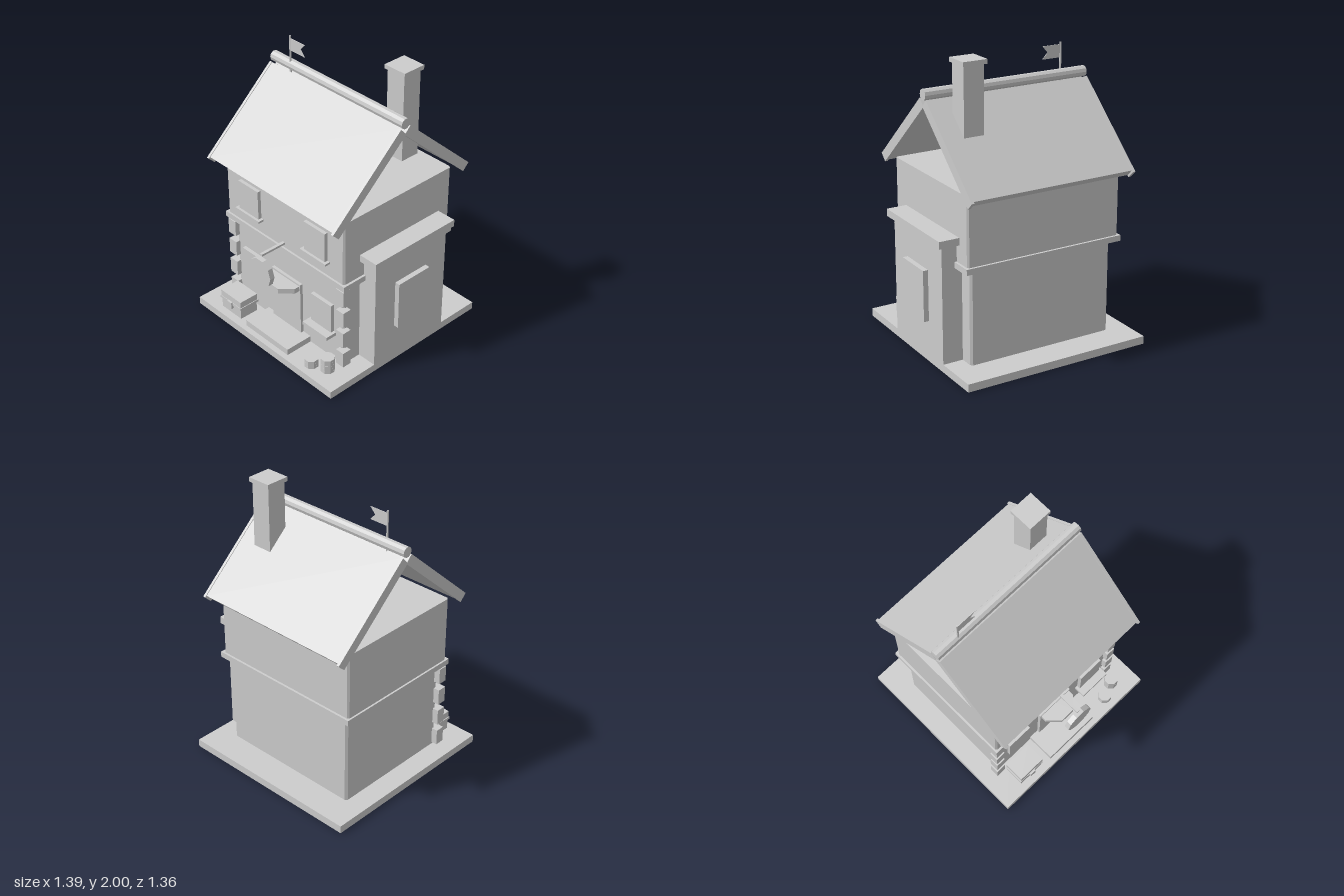
import * as THREE from 'three';

export function createModel() {
  const house = new THREE.Group();
  house.name = 'house';
  const grey = new THREE.MeshStandardMaterial({ color: 0xcccccc });
  grey.name = 'plain grey';
  const greyThin = new THREE.MeshStandardMaterial({ color: 0xcccccc, side: THREE.DoubleSide });
  greyThin.name = 'plain grey two-sided';

  const add = (name, geometry, material = grey) => {
    const mesh = new THREE.Mesh(geometry, material);
    mesh.name = name;
    house.add(mesh);
    return mesh;
  };

  // Box given by its limits on each axis
  const box = (name, x0, x1, y0, y1, z0, z1) =>
    add(name, new THREE.BoxGeometry(x1 - x0, y1 - y0, z1 - z0)
      .translate((x0 + x1) / 2, (y0 + y1) / 2, (z0 + z1) / 2));

  // Faceted cylinder; axis is the direction of its length
  const drum = (name, r, length, sides, axis, x, y, z, turn = 0) => {
    const g = new THREE.CylinderGeometry(r, r, length, sides).toNonIndexed();
    g.rotateY(turn);
    if (axis === 'x') g.rotateZ(Math.PI / 2);
    if (axis === 'z') g.rotateX(Math.PI / 2);
    g.computeVertexNormals();
    return add(name, g.translate(x, y, z));
  };

  // Upright block with chamfered corners
  const storey = (name, x0, x1, y0, y1, z0, z1, c) => {
    const plan = [[x0 + c, z0], [x1 - c, z0], [x1, z0 + c], [x1, z1 - c],
      [x1 - c, z1], [x0 + c, z1], [x0, z1 - c], [x0, z0 + c]];
    const shape = new THREE.Shape(plan.map(([x, z]) => new THREE.Vector2(x, -z)));
    return add(name, new THREE.ExtrudeGeometry(shape, { depth: y1 - y0, bevelEnabled: false })
      .rotateX(-Math.PI / 2).translate(0, y0, 0));
  };

  // Cross-section of [z, y] points swept along x
  const sweepX = (name, points, x0, x1) => {
    const shape = new THREE.Shape(points.map(([z, y]) => new THREE.Vector2(-z, y)));
    return add(name, new THREE.ExtrudeGeometry(shape, { depth: x1 - x0, bevelEnabled: false })
      .rotateY(Math.PI / 2).translate(x0, 0, 0));
  };

  // Base: a hollow slab, open underneath
  const base = box('base', -0.7, 0.656, 0, 0.055, -0.677, 0.68);
  const faces = Array.from(base.geometry.index.array);
  base.geometry.setIndex(faces.filter((_, i) => i < 18 || i >= 24));
  base.geometry.clearGroups();
  base.material = greyThin;

  // Walls
  storey('lowerStorey', -0.55, 0.512, 0.055, 0.71, -0.463, 0.433, 0.015);
  box('floorBand', -0.605, 0.565, 0.705, 0.745, -0.51, 0.478);
  storey('upperStorey', -0.592, 0.548, 0.745, 1.213, -0.494, 0.463, 0.012);

  // Corner stones on the front
  for (let i = 0; i < 4; i++) {
    const y = 0.07 + i * 0.167;
    box('cornerStone', -0.595, -0.522, y, y + 0.115, 0.402, 0.468);
    box('cornerStone', 0.48, 0.548, y, y + 0.115, 0.402, 0.468);
  }

  // Side annex
  box('annex', 0.48, 0.656, 0.055, 0.865, -0.355, 0.289);
  box('annexCap', 0.48, 0.692, 0.865, 0.915, -0.391, 0.325);
  box('annexWindow', 0.65, 0.692, 0.29, 0.645, -0.17, 0.11);

  // Roof slabs, framed at both gable ends
  const ridgeZ = -0.013;
  for (const side of [1, -1]) {
    const corners = [[0.606, 1.213], [0.04, 1.725], [-0.008, 1.675], [0.558, 1.165]]
      .map(([d, y]) => [ridgeZ + side * d, y]);
    const [a, b, c, d] = corners;
    const at = (u, v) => [0, 1].map((k) =>
      (1 - v) * (a[k] + (b[k] - a[k]) * u) + v * (d[k] + (c[k] - d[k]) * u));
    sweepX('roofPanel', [at(0.018, 0.06), at(0.998, 0.06), at(0.998, 0.94), at(0.018, 0.94)],
      -0.61, 0.57);
    sweepX('gableBoard', corners, -0.627, -0.608);
    sweepX('gableBoard', corners, 0.568, 0.587);
  }
  drum('ridge', 0.037, 1.215, 10, 'x', -0.02, 1.752, ridgeZ);

  // Chimney
  box('chimney', 0.3, 0.444, 1.362, 1.97, -0.28, -0.138);
  box('chimneyCap', 0.284, 0.457, 1.97, 2, -0.297, -0.126);

  // Flag with a swallow tail
  drum('flagPole', 0.007, 0.317, 6, 'y', -0.449, 1.808, 0.002);
  const flag = new THREE.Shape([[-0.445, 1.862], [-0.308, 1.862], [-0.348, 1.906],
    [-0.308, 1.95], [-0.445, 1.95]].map(([x, y]) => new THREE.Vector2(x, y)));
  add('flag', new THREE.ExtrudeGeometry(flag, { depth: 0.004, bevelEnabled: false }), greyThin);

  // Windows and sills
  for (const x of [-0.343, 0.299]) {
    box('upperWindow', x - 0.098, x + 0.098, 0.86, 1.075, 0.45, 0.488);
    box('upperSill', x - 0.12, x + 0.12, 0.845, 0.86, 0.45, 0.506);
  }
  box('lowerWindow', -0.463, -0.272, 0.29, 0.503, 0.42, 0.46);
  box('lowerWindow', 0.23, 0.422, 0.285, 0.503, 0.42, 0.46);
  box('lowerSill', 0.21, 0.443, 0.26, 0.285, 0.42, 0.517);

  // Door, step and canopy
  box('door', -0.165, 0.12, 0.1, 0.5, 0.42, 0.455);
  box('doorStep', -0.235, 0.192, 0.055, 0.1, 0.42, 0.64);
  drum('doorCanopy', 0.144, 0.038, 8, 'y', -0.022, 0.468, 0.442, Math.PI / 8);

  // Hanging sign
  drum('sign', 0.107, 0.036, 10, 'z', -0.02, 0.647, 0.662, Math.PI / 2);
  box('signBracket', -0.033, -0.011, 0.77, 0.785, 0.45, 0.66);

  // Chest
  box('chestBody', -0.512, -0.312, 0.055, 0.132, 0.48, 0.622);
  box('chestRim', -0.522, -0.303, 0.132, 0.15, 0.472, 0.63);
  box('chestLid', -0.516, -0.308, 0.15, 0.198, 0.477, 0.626);
  box('chestClasp', -0.435, -0.39, 0.105, 0.155, 0.62, 0.642);

  // Stacks of discs
  for (const [x, z, count] of [[0.37, 0.587, 3], [0.479, 0.542, 5]]) {
    for (let i = 0; i < count; i++) {
      drum('stackedDisc', 0.05, 0.022, 8, 'y', x, 0.061 + i * 0.0225, z, Math.PI / 8);
    }
  }

  // Centre the whole on its footprint
  house.position.set(0.004, 0, -0.003);
  return house;
}
